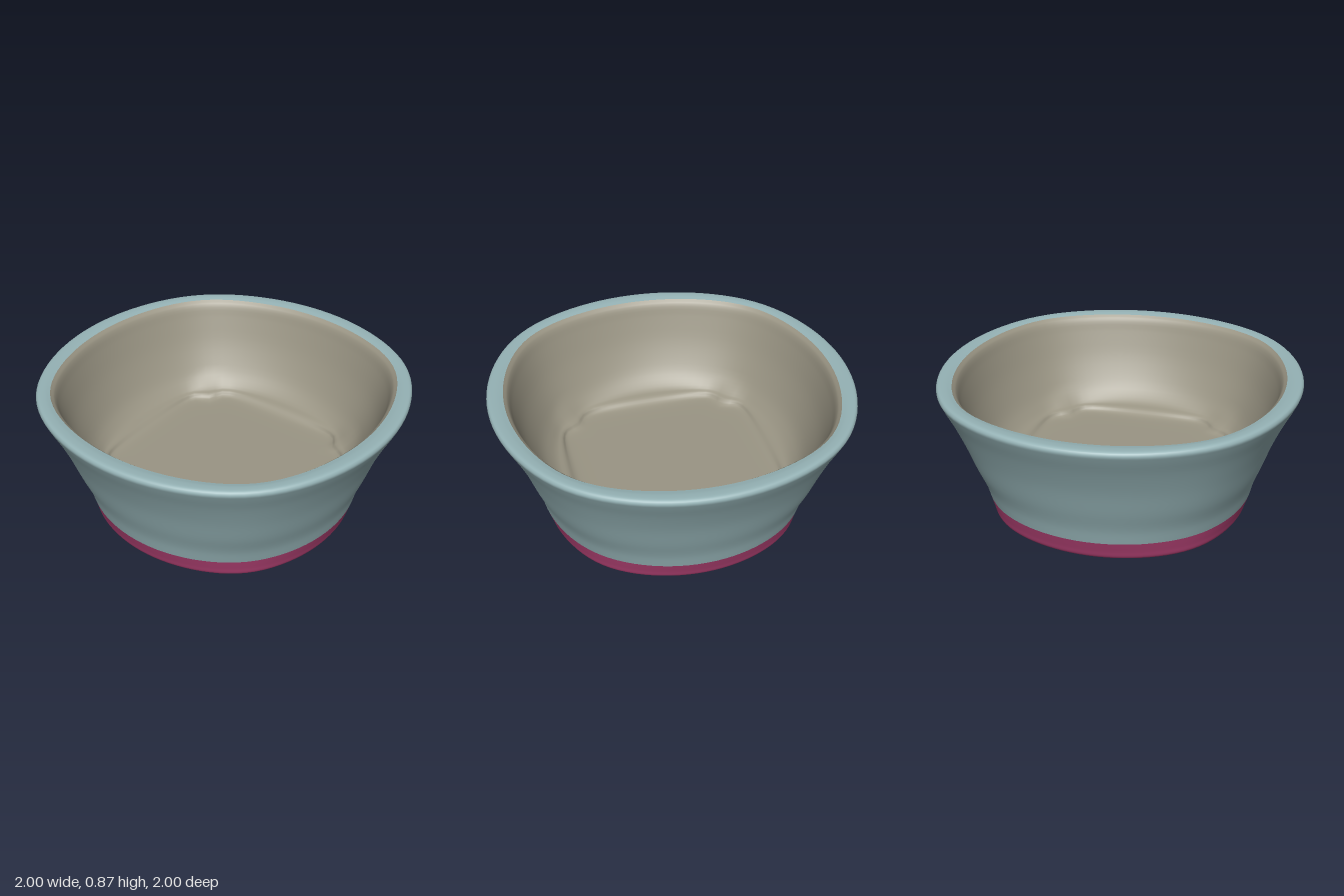
import * as THREE from 'three';

const glaze = new THREE.MeshStandardMaterial({ color: 0x95b2b5 });
const taupe = new THREE.MeshStandardMaterial({ color: 0x9a9584 });
const berry = new THREE.MeshStandardMaterial({ color: 0xac3f70 });
glaze.name = 'blueGrey';
taupe.name = 'taupe';
berry.name = 'berry';

const SEGMENTS = 96;

// Radius factor: blends a circle into a soft square, with an optional dent at the four corners
function outline(theta, square, dent) {
  const c = Math.abs(Math.cos(theta)), s = Math.abs(Math.sin(theta));
  const squircle = Math.pow(c ** 5 + s ** 5, -0.2);
  const corner = Math.abs(c - s) / 0.16;
  return 1 + (squircle - 1) * square - dent * Math.exp(-corner * corner);
}

// Skin through stacked rings of [radius, height, squareness, cornerDent]
function shell(name, material, points) {
  // refine the control rings with a smooth curve
  const radial = new THREE.CatmullRomCurve3(
    points.map(([r, y, q = 0]) => new THREE.Vector3(r, y, q)), false, 'centripetal');
  const steps = (points.length - 1) * 4;
  const positions = [], indices = [];
  for (let j = 0; j <= steps; j++) {
    const p = radial.getPoint(j / steps);
    const k = Math.min(Math.floor(j / 4), points.length - 2);
    const dent = THREE.MathUtils.lerp(points[k][3] ?? 0, points[k + 1][3] ?? 0, j / 4 - k);
    for (let i = 0; i < SEGMENTS; i++) {
      const a = (i / SEGMENTS) * Math.PI * 2;
      const r = Math.max(p.x, 0) * outline(a, p.z, dent);
      positions.push(r * Math.sin(a), p.y, r * Math.cos(a));
    }
  }
  for (let j = 0; j < steps; j++) {
    for (let i = 0; i < SEGMENTS; i++) {
      const n = (i + 1) % SEGMENTS;
      const a = j * SEGMENTS + i, b = j * SEGMENTS + n;
      indices.push(a, b, b + SEGMENTS, a, b + SEGMENTS, a + SEGMENTS);
    }
  }
  const geometry = new THREE.BufferGeometry();
  geometry.setAttribute('position', new THREE.Float32BufferAttribute(positions, 3));
  geometry.setIndex(indices);
  geometry.computeVertexNormals();
  const mesh = new THREE.Mesh(geometry, material);
  mesh.name = name;
  return mesh;
}

// Rounded foot whose flare stretches towards local -z
function createFootGeometry() {
  const profile = new THREE.SplineCurve([
    [0, 0], [0.035, 0.004], [0.056, 0.025], [0.07, 0.055], [0.095, 0.076], [0.13, 0.09],
  ].map(([r, y]) => new THREE.Vector2(r, y))).getPoints(18);
  profile.forEach((p) => p.set(Math.max(p.x, 0), Math.max(p.y, 0)));
  const geometry = new THREE.LatheGeometry(profile, 28);
  const position = geometry.attributes.position;
  for (let i = 0; i < position.count; i++) {
    const z = position.getZ(i);
    if (z < 0) position.setZ(i, z * (1 + 9 * position.getY(i)));
  }
  geometry.computeVertexNormals();
  return geometry;
}

export function createModel() {
  const bowl = new THREE.Group();
  bowl.name = 'footedBowl';

  // Coloured base band and its underside
  bowl.add(shell('base', berry, [
    [0.001, 0.088], [0.35, 0.085], [0.59, 0.08, 0.05], [0.64, 0.089, 0.1], [0.695, 0.094, 0.13],
    [0.717, 0.108, 0.13], [0.732, 0.15, 0.11], [0.752, 0.21, 0.08],
  ]));

  // Flared outer wall and flat rim
  bowl.add(shell('outerWall', glaze, [
    [0.752, 0.21, 0.08], [0.775, 0.3, 0.1], [0.82, 0.42, 0.13], [0.873, 0.57, 0.14],
    [0.935, 0.71, 0.12], [0.988, 0.815, 0.11], [0.999, 0.845, 0.11],
    [0.99, 0.863, 0.11], [0.95, 0.867, 0.14], [0.908, 0.861, 0.19],
  ]));

  // Inside wall running down to a square floor with dented corners
  bowl.add(shell('innerWall', taupe, [
    [0.908, 0.861, 0.19], [0.886, 0.838, 0.19], [0.863, 0.765, 0.18], [0.81, 0.61, 0.18],
    [0.735, 0.46, 0.22], [0.665, 0.385, 0.38, 0.03], [0.595, 0.358, 0.75, 0.08],
    [0.55, 0.332, 1, 0.12], [0.5, 0.326, 0.9, 0.07], [0.25, 0.325, 0.5], [0.001, 0.325],
  ]));

  // Four small feet that flare inwards along the underside
  const footGeometry = createFootGeometry();
  for (const x of [-1, 1]) {
    for (const z of [-1, 1]) {
      const foot = new THREE.Mesh(footGeometry, berry);
      foot.name = (z > 0 ? 'front' : 'back') + (x > 0 ? 'Left' : 'Right') + 'Foot';
      foot.position.set(x * 0.4, 0, z * 0.39);
      foot.rotation.y = Math.atan2(x, z);
      bowl.add(foot);
    }
  }
  return bowl;
}
